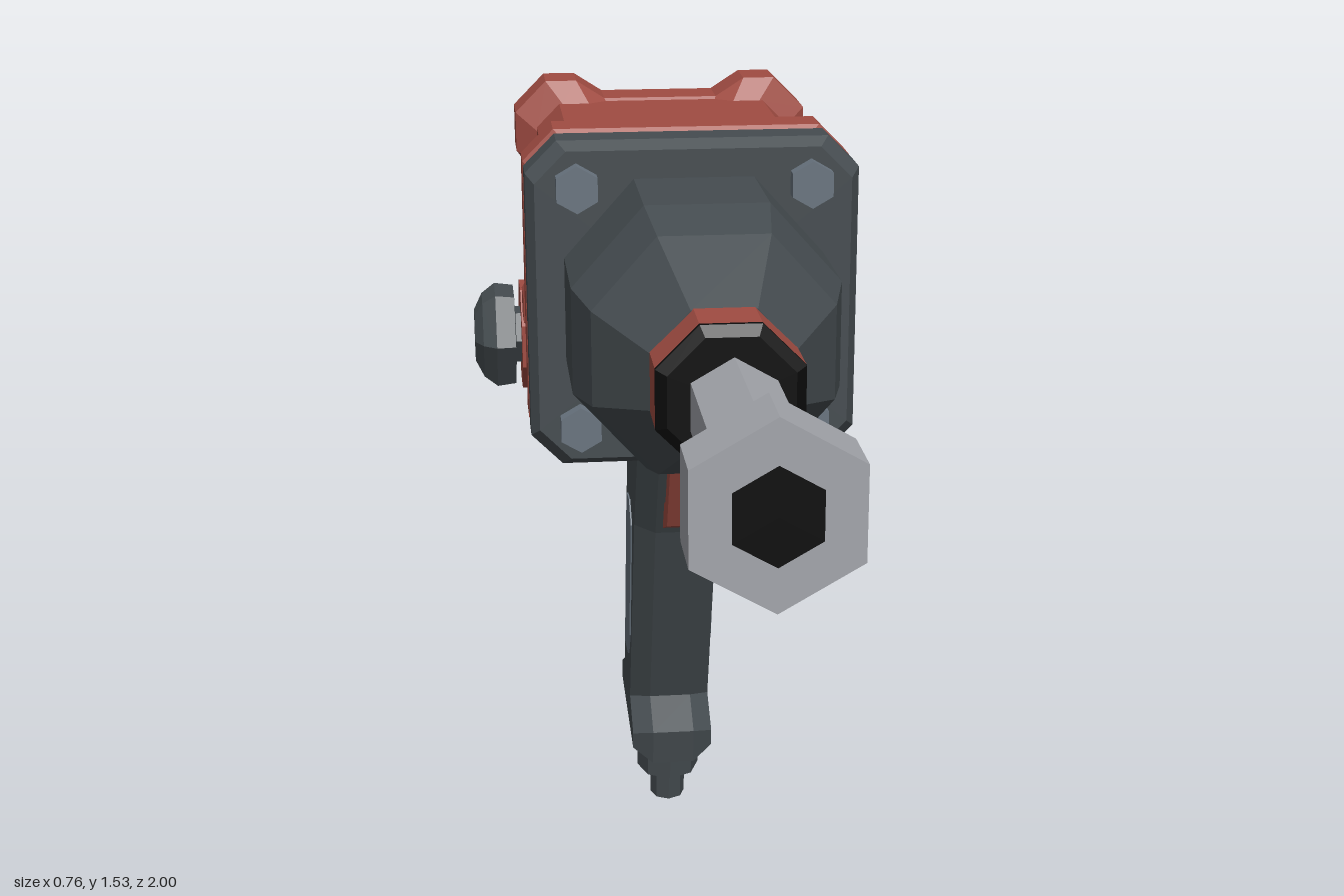
import * as THREE from 'three';

const mat = (name, color) => {
  const m = new THREE.MeshStandardMaterial({ color, flatShading: true });
  m.name = name;
  return m;
};

// Regular polygon outline, counter-clockwise
const ngon = (n, r, start = 0, cy = 0) => Array.from({ length: n }, (_, i) => {
  const a = start + (i / n) * Math.PI * 2;
  return [r * Math.cos(a), cy + r * Math.sin(a)];
});

// Rectangle with chamfered corners: half sizes w, h and cuts cx, cy
const cutRect = (w, h, cx, cy, y0) => [
  [w, -h + cy], [w, h - cy], [w - cx, h], [-w + cx, h],
  [-w, h - cy], [-w, -h + cy], [-w + cx, -h], [w - cx, -h],
].map(([x, y]) => [x, y + y0]);

// Skin between outlines stacked along z (ascending), with closed ends
function loft(sections) {
  const pos = [];
  const at = (k, i) => {
    const [z, pts] = sections[k];
    const p = pts[i % pts.length];
    return [p[0], p[1], z];
  };
  const mid = (k) => {
    const [z, pts] = sections[k];
    const ys = pts.map((p) => p[1]);
    return [0, (Math.min(...ys) + Math.max(...ys)) / 2, z];
  };
  const n = sections[0][1].length;
  const last = sections.length - 1;
  for (let i = 0; i < n; i++) {
    for (let k = 0; k < last; k++) {
      const a = at(k, i), b = at(k, i + 1), c = at(k + 1, i + 1), d = at(k + 1, i);
      pos.push(...a, ...b, ...c, ...a, ...c, ...d);
    }
    pos.push(...mid(last), ...at(last, i), ...at(last, i + 1));
    pos.push(...mid(0), ...at(0, i + 1), ...at(0, i));
  }
  const g = new THREE.BufferGeometry();
  g.setAttribute('position', new THREE.Float32BufferAttribute(pos, 3));
  g.computeVertexNormals();
  return g;
}

// Side profile given as [z, y], extruded across x and centred, optional chamfer
function sideExtrude(profile, width, bevel = 0, bevelDepth = bevel) {
  const shape = new THREE.Shape(profile.map(([z, y]) => new THREE.Vector2(z, y)));
  const depth = width - 2 * bevelDepth;
  const g = new THREE.ExtrudeGeometry(shape, {
    depth, bevelEnabled: bevel > 0, bevelSegments: 1,
    bevelSize: bevel, bevelOffset: -bevel, bevelThickness: bevelDepth,
  });
  return g.translate(0, 0, -depth / 2).rotateY(-Math.PI / 2);
}

export function createModel() {
  const red = mat('red casing', 0xa04c42);
  const dark = mat('dark grey', 0x454c50);
  const steel = mat('steel', 0xa3a5ab);
  const slate = mat('slate grey', 0x69747f);
  const black = mat('black', 0x0b0b0b);

  const model = new THREE.Group();
  model.name = 'impactWrench';
  const add = (name, geometry, material, x = 0, y = 0, z = 0) => {
    const m = new THREE.Mesh(geometry, material);
    m.name = name;
    m.position.set(x, y, z);
    model.add(m);
    return m;
  };
  const Y = 1.24; // height of the main axis
  const up = Math.PI / 2;

  // Front nose housing
  const nose = (r) => cutRect(r, r, r * 0.54, r * 0.6, Y);
  add('noseHousing', loft([[-0.1, nose(0.226)], [0.12, nose(0.226)], [0.23, nose(0.2)], [0.37, nose(0.115)]]), dark);
  const ring = (r) => ngon(8, r / Math.cos(Math.PI / 8), Math.PI / 8, Y);
  add('noseCollar', loft([[0.36, ring(0.117)], [0.455, ring(0.117)]]), red);
  add('noseSeal', loft([[0.455, ring(0.117)], [0.463, ring(0.117)], [0.477, ring(0.1)]]), black);

  // Hexagonal drive shaft and socket
  const hex = (r) => ngon(6, r, up, Y);
  add('driveSocket', loft([
    [0.46, hex(0.055)], [0.49, hex(0.055)], [0.505, hex(0.077)],
    [0.73, hex(0.077)], [0.89, hex(0.139)], [1, hex(0.139)],
  ]), steel);
  add('socketHole', loft([[0.995, hex(0.072)], [1.001, hex(0.072)]]), black);

  // Front flanges and main body
  const plate = (r, c = 0.055) => cutRect(r, r, c, c, Y);
  add('frontFlange', loft([
    [-0.2, plate(0.262)], [-0.175, plate(0.29)], [-0.11, plate(0.29)], [-0.088, plate(0.275)],
  ]), dark);
  add('bodyFlange', loft([
    [-0.32, plate(0.245)], [-0.29, plate(0.29)], [-0.215, plate(0.29)], [-0.193, plate(0.265)],
  ]), red);
  add('bodyCasing', loft([[-0.76, plate(0.245, 0.045)], [-0.3, plate(0.245, 0.045)]]), red);

  // Rear flange with raised upper corners
  const upper = [[0.248, 0.1], [0.285, 0.15], [0.285, 0.225], [0.225, 0.285], [0.165, 0.285], [0.11, 0.25]];
  const lower = [[0.15, -0.25], [0.23, -0.25], [0.28, -0.2], [0.28, -0.15], [0.248, -0.1]];
  const half = [...lower, ...upper];
  const eared = (s) => [...half, ...[...half].reverse().map(([x, y]) => [-x, y])]
    .map(([x, y]) => [x * s, y * s + Y]);
  add('rearFlange', loft([[-0.832, eared(1)], [-0.74, eared(1)], [-0.71, eared(0.86)]]), red);

  // Rear cover and the bracket that carries the cross tube, one side profile
  add('rearCover', sideExtrude([
    [-0.74, 1.45], [-0.83, 1.39], [-0.912, 1.315], [-0.912, 1.168], [-0.83, 1.115], [-0.83, 1.05],
    [-0.89, 1.03], [-0.89, 0.875], [-0.788, 0.875], [-0.73, 0.985],
  ], 0.485), red);
  add('rearPanel', new THREE.BoxGeometry(0.26, 0.1, 0.008), dark, 0, 1.243, -0.912);

  // Bolts and side panels
  for (const s of [-1, 1]) {
    for (const t of [-1, 1]) {
      add('frontBolt', loft([[-0.09, ngon(6, 0.041, up)], [-0.06, ngon(6, 0.041, up)]]), slate, s * 0.203, Y + t * 0.214);
    }
    add('rearBolt', loft([[-0.868, ngon(6, 0.042, up)], [-0.82, ngon(6, 0.042, up)]]), dark, s * 0.203, 1.455);
    add('sidePanel', new THREE.BoxGeometry(0.008, 0.21, 0.305), dark, s * 0.245, 1.242, -0.508);
  }

  // Cross tube behind the grip, with domed end caps
  const tubeY = 0.975, tubeZ = -0.892;
  const tube = ngon(8, 0.105 / Math.cos(Math.PI / 8), Math.PI / 8);
  add('crossTube', loft([[-0.283, tube], [0.283, tube]]).rotateY(up), red, 0, tubeY, tubeZ);
  for (const s of [-1, 1]) {
    add('tubeCap', loft([
      [0.27, ngon(6, 0.06)], [0.294, ngon(6, 0.06)], [0.296, ngon(6, 0.106)],
      [0.335, ngon(6, 0.111)], [0.362, ngon(6, 0.09)], [0.379, ngon(6, 0.055)],
    ]).rotateY(s * up), dark, 0, tubeY, tubeZ);
  }

  // Pistol grip with flared foot
  add('grip', sideExtrude([
    [-0.335, 1.02], [-0.335, 0.865], [-0.43, 0.69], [-0.59, 0.265], [-0.515, 0.215], [-0.527, 0.14],
    [-0.87, 0.18], [-0.865, 0.257], [-0.78, 0.3], [-0.645, 0.81], [-0.655, 0.88], [-0.725, 0.915], [-0.725, 1.02],
  ], 0.164, 0.025, 0.04), dark);
  const pad = [[-0.505, 0.68], [-0.55, 0.72], [-0.605, 0.715], [-0.625, 0.67], [-0.708, 0.345], [-0.625, 0.35], [-0.58, 0.41]];
  for (const s of [-1, 1]) {
    add('gripPad', sideExtrude(pad, 0.008), slate, s * 0.081);
  }

  // Trigger
  add('trigger', sideExtrude([
    [-0.24, 0.915], [-0.28, 0.93], [-0.36, 0.78], [-0.43, 0.745], [-0.43, 0.7], [-0.33, 0.74],
  ], 0.056), red);

  // Air inlet under the foot, square to its sloping base
  const collar = add('inletCollar', new THREE.CylinderGeometry(0.065, 0.065, 0.1, 8), dark, 0, 0.125, -0.655);
  const stem = add('inletStem', new THREE.CylinderGeometry(0.036, 0.036, 0.12, 8), dark, 0, 0.064, -0.663);
  collar.rotation.x = stem.rotation.x = 0.116;

  return model;
}
